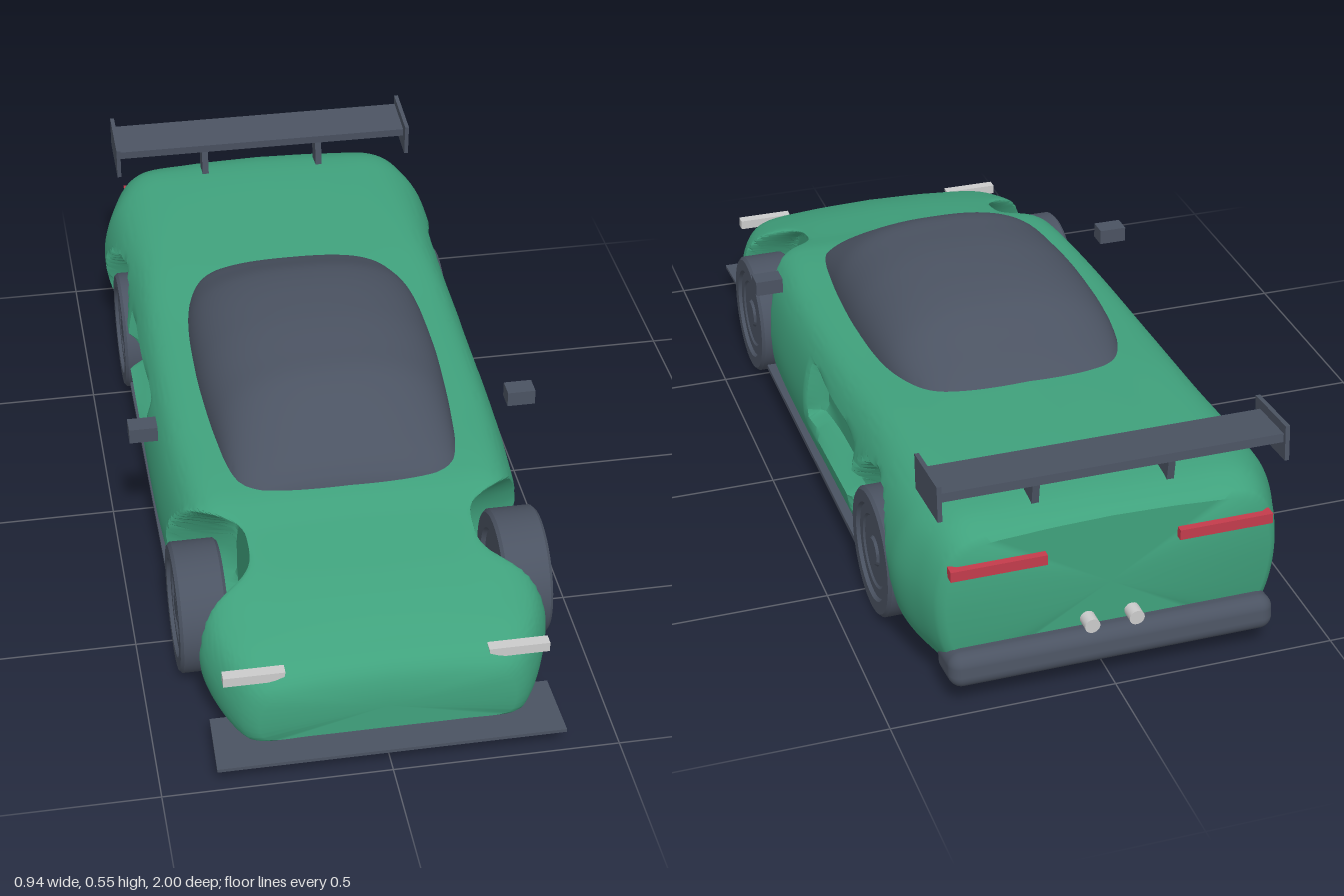
import * as THREE from 'three';
import { toCreasedNormals } from 'three/addons/utils/BufferGeometryUtils.js';
import { RoundedBoxGeometry } from 'three/addons/geometries/RoundedBoxGeometry.js';

const mat = (name, color) => Object.assign(new THREE.MeshStandardMaterial({ color }), { name });

// Body stations: z, bottom y, bottom half width, waist y, waist half width, shoulder y, shoulder half width, top y
const BODY = [
  [0.94, 0.07, 0.27, 0.13, 0.28, 0.19, 0.24, 0.2],
  [0.92, 0.055, 0.3, 0.14, 0.31, 0.215, 0.265, 0.235],
  [0.86, 0.05, 0.33, 0.16, 0.35, 0.245, 0.3, 0.265],
  [0.78, 0.046, 0.345, 0.18, 0.38, 0.272, 0.315, 0.295],
  [0.7, 0.045, 0.35, 0.19, 0.387, 0.297, 0.315, 0.316],
  [0.56, 0.045, 0.36, 0.2, 0.395, 0.332, 0.315, 0.343],
  [0.45, 0.045, 0.37, 0.2, 0.402, 0.357, 0.33, 0.367],
  [0.2, 0.047, 0.372, 0.2, 0.415, 0.365, 0.35, 0.386],
  [-0.2, 0.048, 0.372, 0.22, 0.415, 0.385, 0.35, 0.408],
  [-0.45, 0.049, 0.37, 0.23, 0.415, 0.405, 0.34, 0.422],
  [-0.78, 0.05, 0.36, 0.26, 0.43, 0.415, 0.33, 0.434],
  [-0.88, 0.056, 0.345, 0.26, 0.402, 0.412, 0.322, 0.43],
  [-0.945, 0.066, 0.325, 0.25, 0.375, 0.388, 0.31, 0.41],
  [-0.952, 0.075, 0.31, 0.25, 0.362, 0.378, 0.3, 0.4],
];

// Canopy stations: z, half width, top y
const CANOPY = [
  [0.465, 0.22, 0.362], [0.44, 0.248, 0.395], [0.4, 0.265, 0.428], [0.25, 0.278, 0.512],
  [0.15, 0.285, 0.528], [0, 0.29, 0.537], [-0.2, 0.283, 0.52], [-0.33, 0.258, 0.467],
  [-0.4, 0.225, 0.432], [-0.43, 0.18, 0.41],
];

// Smooth interpolation of a station table, sorted from front to back
function sample(table, z) {
  let i = 0;
  while (i < table.length - 2 && z < table[i + 1][0]) i++;
  const p = table[i], q = table[i + 1], o = table[Math.max(i - 1, 0)];
  const r = table[Math.min(i + 2, table.length - 1)];
  const d = q[0] - p[0], t = THREE.MathUtils.clamp((z - p[0]) / d, 0, 1);
  return p.map((v, k) => {
    const m = ((q[k] - o[k]) / (q[0] - o[0])) * d, n = ((r[k] - v) / (r[0] - p[0])) * d;
    const t2 = t * t, t3 = t2 * t;
    return (2 * t3 - 3 * t2 + 1) * v + (t3 - 2 * t2 + t) * m + (3 * t2 - 2 * t3) * q[k] + (t3 - t2) * n;
  });
}

// Skin closed rings (counterclockwise from the front) and cap both ends
function loft(rings, crease) {
  const n = rings[0].length, pts = rings.flat(), idx = [];
  for (let i = 0; i < rings.length - 1; i++) {
    for (let j = 0; j < n; j++) {
      const a = i * n + j, b = i * n + ((j + 1) % n);
      idx.push(a, a + n, b, b, a + n, b + n);
    }
  }
  [0, rings.length - 1].forEach((r, end) => {
    const c = new THREE.Vector3();
    rings[r].forEach((p) => c.addScaledVector(p, 1 / n));
    pts.push(c);
    for (let j = 0; j < n; j++) {
      const a = r * n + j, b = r * n + ((j + 1) % n);
      idx.push(pts.length - 1, end ? b : a, end ? a : b);
    }
  });
  const g = new THREE.BufferGeometry().setFromPoints(pts);
  g.setIndex(idx);
  return toCreasedNormals(g, crease);
}

const WHEEL_Z = [0.56, -0.57], WHEEL_Y = 0.148;

// Press the wheel arches and the side scoops into the flank
function pressIn(p) {
  const { smoothstep, lerp } = THREE.MathUtils;
  WHEEL_Z.forEach((wz, k) => {
    const front = k === 0, depth = front ? 0.25 : 0.28;
    const d = Math.hypot(p.z - wz, (p.y - WHEEL_Y) * (front ? 0.92 : 1));
    const t = 1 - smoothstep(d, 0.168, 0.203);
    if (p.x > depth) p.x = lerp(p.x, depth, t);
  });
  const out = Math.max(Math.abs(p.z + 0.2) - 0.2, Math.abs(p.y - 0.245) - 0.078);
  const s = 1 - smoothstep(out, -0.028, 0);
  if (p.x > 0.362) p.x = lerp(p.x, 0.362, s);
  return p;
}

function bodyGeometry() {
  const rings = [], count = 170, half = 63;
  for (let i = 0; i <= count; i++) {
    const z = THREE.MathUtils.lerp(0.94, -0.952, i / count);
    const [, yb, wb, ym, wm, ys, ws, yt] = sample(BODY, z);
    const curve = new THREE.CatmullRomCurve3([
      [0, yb], [wb * 0.6, yb], [wb * 0.97, yb + 0.003], [wb * 0.4 + wm * 0.6, yb + (ym - yb) * 0.3], [wm, ym],
      [wm * 0.62 + ws * 0.38, ym + (ys - ym) * 0.72], [ws, ys], [ws * 0.6, ys + (yt - ys) * 0.7], [0, yt],
    ].map(([x, y]) => new THREE.Vector3(x, y, z)), false, 'centripetal');
    const right = [];
    for (let j = 0; j <= half; j++) right.push(pressIn(curve.getPoint(j / half)));
    const left = right.slice(1, -1).reverse().map((p) => new THREE.Vector3(-p.x, p.y, p.z));
    rings.push([...right, ...left]);
  }
  return loft(rings, 0.7);
}

function canopyGeometry() {
  const rings = [], count = 50, n = 40, power = 2 / 2.5;
  for (let i = 0; i <= count; i++) {
    const [z, w, top] = sample(CANOPY, THREE.MathUtils.lerp(0.465, -0.43, i / count));
    const base = sample(BODY, z)[7] - 0.05, ring = [];
    for (let j = 0; j <= n; j++) {
      const a = (j / n) * Math.PI, c = Math.cos(a);
      const x = w * Math.sign(c) * Math.abs(c) ** power;
      ring.push(new THREE.Vector3(x, base + (top - base) * Math.max(Math.sin(a), 0) ** power, z));
    }
    rings.push(ring);
  }
  return loft(rings, 0.7);
}

// Tyre and stepped rim turned about the axle; outer face towards +y
function wheelGeometry() {
  const profile = [
    [0, -0.045], [0.1, -0.045], [0.105, -0.055], [0.14, -0.055], [0.147, -0.048], [0.147, 0.048],
    [0.14, 0.055], [0.112, 0.055], [0.107, 0.047], [0.085, 0.047], [0.08, 0.043], [0.035, 0.043], [0.03, 0.049], [0, 0.049],
  ].map(([r, y]) => new THREE.Vector2(r, y));
  return toCreasedNormals(new THREE.LatheGeometry(profile, 48), 0.6);
}

export function createModel() {
  const car = new THREE.Group();
  car.name = 'sportsCar';
  const green = mat('greenPaint', 0x40a27d);
  const dark = mat('darkGrey', 0x4b5362);
  const silver = mat('lightGrey', 0xcccccc);
  const red = mat('redLens', 0xc43c4c);

  const add = (name, geo, material, x = 0, y = 0, z = 0) => {
    const m = new THREE.Mesh(geo, material);
    m.name = name;
    m.position.set(x, y, z);
    car.add(m);
    return m;
  };
  const box = (name, material, size, pos) => add(name, new THREE.BoxGeometry(...size), material, ...pos);

  add('body', bodyGeometry(), green);
  add('canopy', canopyGeometry(), dark);

  // Splitter, rear bumper and wing
  const outline = new THREE.Shape([[-0.38, 1], [0.38, 1], [0.375, 0.84], [-0.375, 0.84]].map((p) => new THREE.Vector2(...p)));
  const splitter = new THREE.ExtrudeGeometry(outline, { depth: 0.008, bevelEnabled: false });
  add('frontSplitter', splitter.rotateX(Math.PI / 2), dark, 0, 0.06, 0);
  add('rearBumper', new RoundedBoxGeometry(0.73, 0.08, 0.12, 4, 0.03), dark, 0, 0.094, -0.938).rotation.x = 0.12;
  box('wingBlade', dark, [0.755, 0.02, 0.122], [0, 0.515, -0.896]).rotation.x = 0.08;

  const wheel = wheelGeometry();
  const pipe = new THREE.CylinderGeometry(0.017, 0.017, 0.06, 20).rotateX(Math.PI / 2);
  const lampShape = new THREE.Shape([[0.22, 0.24], [0.222, 0.228], [0.25, 0.217], [0.353, 0.217], [0.353, 0.24]]
    .map((p) => new THREE.Vector2(...p)));
  const lamp = new THREE.ExtrudeGeometry(lampShape, { depth: 0.025, bevelEnabled: false });

  for (const [side, s] of [['left', 1], ['right', -1]]) {
    WHEEL_Z.forEach((z, k) => {
      const w = add(side + (k ? 'RearWheel' : 'FrontWheel'), wheel, dark, s * 0.363, WHEEL_Y, z);
      w.rotation.z = -s * Math.PI / 2;
    });
    const l = add(side + 'Headlamp', lamp, silver, 0, 0, s > 0 ? 0.895 : 0.92);
    if (s < 0) l.rotation.y = Math.PI;
    box(side + 'TailLight', red, [0.21, 0.024, 0.025], [s * 0.252, 0.33, -0.956]);
    add(side + 'ExhaustPipe', pipe, silver, s * 0.05, 0.152, -0.955);
    box(side + 'Mirror', dark, [0.065, 0.036, 0.045], [s * 0.439, 0.407, 0.235]);
    box(side + 'SideSkirt', dark, [0.05, 0.012, 0.84], [s * 0.384, 0.072, -0.01]);
    box(side + 'WingEndPlate', dark, [0.01, 0.08, 0.155], [s * 0.379, 0.505, -0.889]).rotation.x = 0.08;
    box(side + 'WingStrut', dark, [0.016, 0.1, 0.05], [s * 0.15, 0.463, -0.873]).rotation.x = -0.12;
  }
  return car;
}
